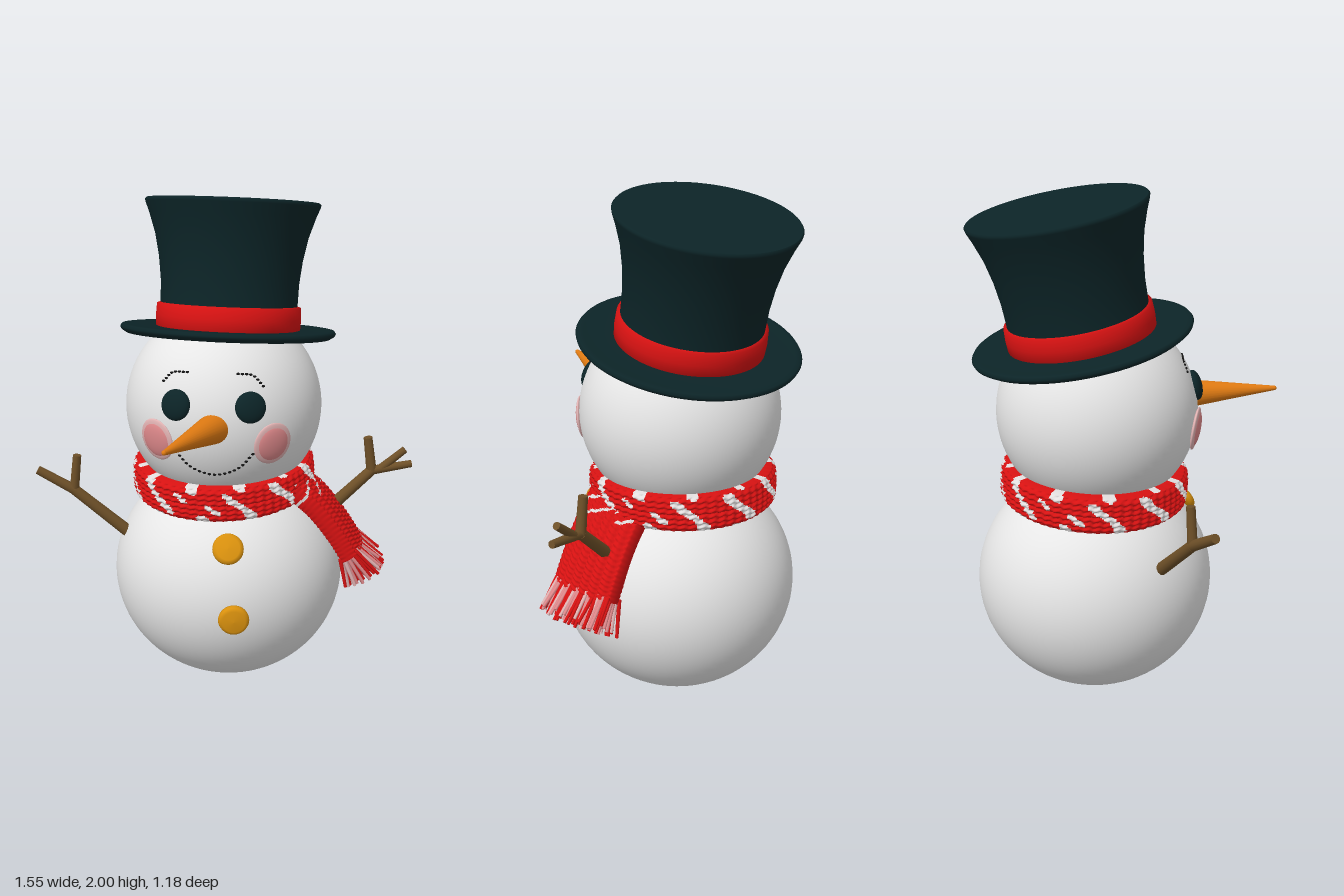
import * as THREE from 'three';

const paint = (name, color, side = THREE.FrontSide) => {
  const m = new THREE.MeshStandardMaterial({ color, side });
  m.name = name;
  return m;
};
const V = (x, y, z) => new THREE.Vector3(x, y, z);
const UP = V(0, 1, 0), FRONT = V(0, 0, 1);

function mesh(parent, name, geo, mat, pos) {
  const m = new THREE.Mesh(geo, mat);
  m.name = name;
  if (pos) m.position.copy(pos);
  parent.add(m);
  return m;
}

// Tapered rod between two points
function rod(parent, name, a, b, ra, rb, mat, sides = 12) {
  const d = b.clone().sub(a);
  const m = mesh(parent, name, new THREE.CylinderGeometry(rb, ra, d.length(), sides), mat, a.clone().add(b).multiplyScalar(0.5));
  m.quaternion.setFromUnitVectors(UP, d.normalize());
  return m;
}

// Knitted band swept along frame(u) = {pos, out, side}; two materials by stitch pattern
function knitBand(frame, halfThick, halfWide, nu, nv, stitches, isLight) {
  const pos = [], dark = [], light = [];
  for (let i = 0; i <= nu; i++) {
    const u = i / nu, f = frame(u);
    for (let j = 0; j <= nv; j++) {
      const t = (j / nv) * Math.PI * 2;
      const s = Math.asin(Math.sin(t)) * 2 / Math.PI;
      const wave = 0.45 * Math.sin(u * stitches * Math.PI * 2);
      const bump = Math.abs(Math.sin(s * 3.5 * Math.PI + wave)) * (0.75 + 0.25 * Math.abs(Math.sin(u * stitches * Math.PI)));
      const o = Math.sign(Math.cos(t)) * Math.pow(Math.max(0, 1 - s ** 4), 0.25) * (halfThick - 0.012 + 0.014 * bump);
      const p = f.pos.clone().addScaledVector(f.out, o).addScaledVector(f.side, s * halfWide);
      pos.push(p.x, p.y, p.z);
      if (i < nu && j < nv) {
        const a = i * (nv + 1) + j, b = a + nv + 1;
        (isLight(u, s) ? light : dark).push(a, b, b + 1, a, b + 1, a + 1);
      }
    }
  }
  const g = new THREE.BufferGeometry();
  g.setAttribute('position', new THREE.Float32BufferAttribute(pos, 3));
  g.setIndex([...dark, ...light]);
  g.addGroup(0, dark.length, 0);
  g.addGroup(dark.length, light.length, 1);
  g.computeVertexNormals();
  return g;
}

export function createModel() {
  const root = new THREE.Group();
  root.name = 'snowman';
  const snow = paint('snow', 0xe6e6e6);
  const felt = paint('darkFelt', 0x0c2427, THREE.DoubleSide);
  const red = paint('redWool', 0xd81212, THREE.DoubleSide);
  const white = paint('whiteWool', 0xe2dede, THREE.DoubleSide);
  const pink = paint('cheekPink', 0xe08a8c);
  const pale = paint('palePink', 0xe3b4b4);
  const carrot = paint('carrot', 0xdf7a12);
  const amber = paint('amberButton', 0xdb920e);
  const bark = paint('bark', 0x6e5028);
  const black = paint('coal', 0x141414);

  // Body with a flattened base
  const bodyGeo = new THREE.SphereGeometry(1, 64, 48).scale(0.477, 0.455, 0.477).translate(0.015, 0.43, -0.11);
  const bp = bodyGeo.attributes.position;
  for (let i = 0; i < bp.count; i++) bp.setY(i, Math.max(0, bp.getY(i)));
  mesh(root, 'body', bodyGeo, snow);

  // Head
  const C = V(-0.005, 1.15, -0.105), R = 0.395;
  mesh(root, 'head', new THREE.SphereGeometry(R, 64, 48), snow, C);

  // Flattened blob lying on the head at front position x, y
  const onHead = (x, y) => V(x, y, C.z + Math.sqrt(R * R - (x - C.x) ** 2 - (y - C.y) ** 2));
  function blob(name, x, y, rx, ry, depth, mat, segs = 32) {
    const p = onHead(x, y);
    const m = mesh(root, name, new THREE.SphereGeometry(1, segs, segs / 2).scale(rx, ry, depth), mat, p);
    m.quaternion.setFromUnitVectors(FRONT, p.clone().sub(C).normalize());
  }
  for (const [side, eyeX, cheekX] of [['left', 0.085, 0.17], ['right', -0.195, -0.268]]) {
    blob(side + 'Eye', eyeX, 1.25, 0.06, 0.06, 0.028, felt);
    blob(side + 'CheekRim', cheekX, 1.1, 0.08, 0.085, 0.014, pale);
    blob(side + 'Cheek', cheekX, 1.1, 0.07, 0.074, 0.02, pink);
  }

  // Brows and smile as rows of small coal chips
  function chips(name, pts, n) {
    const curve = new THREE.CatmullRomCurve3(pts.map(([x, y]) => V(x, y, 0)));
    for (let i = 0; i < n; i++) {
      const p = curve.getPointAt(i / (n - 1));
      blob(name, p.x, p.y, 0.0075, 0.005, 0.006, black, 8);
    }
  }
  chips('smile', [[-0.195, 1.065], [-0.14, 1.005], [-0.05, 0.975], [0.04, 1.005], [0.095, 1.065]], 19);
  chips('rightBrow', [[-0.24, 1.325], [-0.205, 1.36], [-0.15, 1.368]], 8);
  chips('leftBrow', [[0.04, 1.368], [0.095, 1.36], [0.135, 1.32]], 8);

  // Carrot nose
  const noseBase = V(-0.035, 1.165, 0.23), noseTip = V(-0.232, 1.19, 0.585);
  rod(root, 'nose', noseBase, noseTip, 0.065, 0.009, carrot, 28);
  mesh(root, 'noseTip', new THREE.SphereGeometry(0.0095, 12, 8), carrot, noseTip);

  // Buttons
  for (const [x, y, z, tilt] of [[0, 0.69, 0.31, -0.55], [0.02, 0.418, 0.378, 0]]) {
    const profile = [[0, -0.02], [0.045, -0.02], [0.059, -0.01], [0.061, 0], [0.057, 0.012], [0.045, 0.019], [0, 0.022]];
    const geo = new THREE.LatheGeometry(profile.map(p => new THREE.Vector2(...p)), 32).rotateX(Math.PI / 2);
    mesh(root, 'button', geo, amber, V(x, y, z)).rotation.x = tilt;
  }

  // Stick arms: list of twigs in the x-y plane
  function arm(name, z, twigs) {
    const g = new THREE.Group();
    g.name = name;
    for (const [x0, y0, x1, y1, r0, r1] of twigs) {
      rod(g, 'twig', V(x0, y0, z), V(x1, y1, z), r0, r1, bark);
      mesh(g, 'twigJoint', new THREE.SphereGeometry(r0, 12, 8), bark, V(x0, y0, z));
    }
    root.add(g);
  }
  arm('rightArm', -0.05, [[-0.37, 0.58, -0.62, 0.8, 0.026, 0.022], [-0.62, 0.8, -0.765, 0.888, 0.021, 0.018], [-0.62, 0.8, -0.603, 0.95, 0.019, 0.017]]);
  arm('leftArm', -0.08, [[0.4, 0.66, 0.605, 0.86, 0.026, 0.022], [0.605, 0.86, 0.585, 1.005, 0.021, 0.018],
    [0.605, 0.86, 0.77, 0.888, 0.019, 0.015], [0.64, 0.866, 0.74, 0.95, 0.017, 0.015]]);

  // Scarf ring
  const patch = (u, s) => Math.sin(u * 75 + 1.6 * Math.sin(s * 3) - 0.4) + 0.7 * Math.sin(u * 131 + s * 5) > 0.72;
  const ringGeo = knitBand(u => {
    const a = u * Math.PI * 2, out = V(Math.sin(a), 0, Math.cos(a));
    return { pos: out.clone().multiplyScalar(0.318), out, side: UP };
  }, 0.056, 0.074, 300, 64, 60, patch);
  mesh(root, 'scarfRing', ringGeo, [red, white], V(-0.005, 0.856, -0.12)).rotation.set(0.04, 0, 0.04);

  // Scarf tail hanging on the left, bowed around the body
  const path = new THREE.CatmullRomCurve3([V(0.27, 0.86, -0.02), V(0.375, 0.77, -0.02), V(0.465, 0.655, -0.02), V(0.53, 0.55, -0.02)]);
  const bow = z => -0.9 * (z + 0.06) ** 2;
  const tailGeo = knitBand(u => {
    const t = path.getTangent(u);
    return { pos: path.getPoint(u), out: V(-t.y, t.x, 0), side: V(0, 0, -1) };
  }, 0.05, 0.148, 100, 80, 20, (u, s) => u < 0.3 && Math.sin(u * 40 + s * 6) > 0.8);
  const tp = tailGeo.attributes.position;
  for (let i = 0; i < tp.count; i++) tp.setX(i, tp.getX(i) + bow(tp.getZ(i)));
  tailGeo.computeVertexNormals();
  mesh(root, 'scarfTail', tailGeo, [red, white]);

  // Fringe strands fanning out of the tail end
  let seed = 7;
  const rnd = () => (seed = (seed * 16807) % 2147483647) / 2147483647;
  const fringe = new THREE.Group();
  fringe.name = 'scarfFringe';
  root.add(fringe);
  const along = V(0.53, -0.85, 0), across = V(0.85, 0.53, 0);
  for (let i = 0; i < 26; i++) {
    for (let k = 0; k < 6; k++) {
      const w = (i + rnd() * 0.6) / 26 * 2 - 1, d = (k + 0.5) / 3 - 1;
      const a = V(0.52 + bow(w * 0.14 - 0.02), 0.565, -0.02 + w * 0.138).addScaledVector(across, d * 0.042);
      const b = a.clone().addScaledVector(along, 0.105 + 0.04 * rnd()).addScaledVector(across, d * 0.043 + (rnd() - 0.5) * 0.02);
      b.z += w * 0.012 + (rnd() - 0.5) * 0.015;
      rod(fringe, 'strand', a, b, 0.0085, 0.0065, [red, pink, pale, red, pink][(i * 3 + k * 2) % 5], 6);
    }
  }

  // Tilted top hat
  const hat = new THREE.Group();
  hat.name = 'topHat';
  hat.position.set(0.013, 1.435, -0.155);
  hat.rotation.set(-0.178, 0, -0.045);
  root.add(hat);
  const lathe = (name, pts, mat) => mesh(hat, name, new THREE.LatheGeometry(pts.map(p => new THREE.Vector2(...p)), 72), mat);
  lathe('brim', [[0.2, -0.018], [0.34, -0.018], [0.41, -0.012], [0.428, 0], [0.432, 0.01], [0.425, 0.02], [0.405, 0.021], [0.34, 0.014], [0.26, 0.016]], felt);
  lathe('crown', [[0.278, 0], [0.274, 0.12], [0.276, 0.2], [0.286, 0.29], [0.304, 0.38], [0.33, 0.46], [0.346, 0.5], [0.348, 0.51], [0.342, 0.516]], felt);
  mesh(hat, 'crownTop', new THREE.CircleGeometry(0.343, 72).rotateX(-Math.PI / 2), felt, V(0, 0.516, 0));
  lathe('hatBand', [[0.27, 0.012], [0.289, 0.018], [0.291, 0.06], [0.288, 0.106], [0.27, 0.112]], red);

  return root;
}
